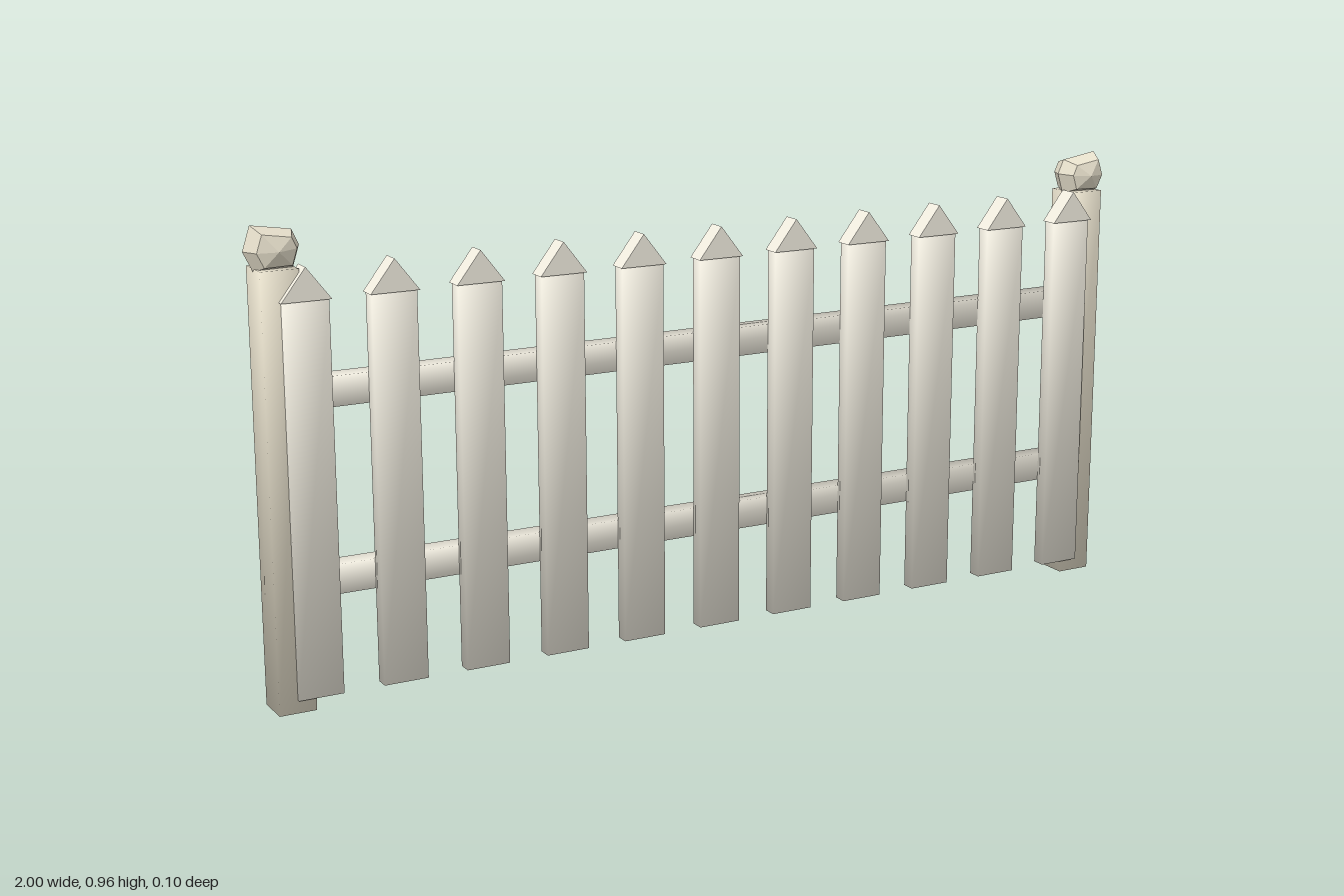
import * as THREE from 'three';
import { ConvexGeometry } from 'three/addons/geometries/ConvexGeometry.js';

const cream = new THREE.MeshStandardMaterial({ color: 0xf1ede0 });
const tan = new THREE.MeshStandardMaterial({ color: 0xe6dfcb });

function add(parent, name, geometry, material, x, y, z) {
  const mesh = new THREE.Mesh(geometry, material);
  mesh.name = name;
  mesh.position.set(x, y, z);
  parent.add(mesh);
}

// Box shaded smoothly across all its edges: every corner normal is diagonal
function softBox(w, h, d) {
  const geo = new THREE.BoxGeometry(w, h, d);
  const { position, normal } = geo.attributes;
  const n = new THREE.Vector3();
  for (let i = 0; i < position.count; i++) {
    n.fromBufferAttribute(position, i);
    n.set(Math.sign(n.x), Math.sign(n.y), Math.sign(n.z)).normalize();
    normal.setXYZ(i, n.x, n.y, n.z);
  }
  return geo;
}

// Faceted knob: a lopsided hexagon shrinking towards a front and a back tip
function knobGeometry(side) {
  const outline = [[0.04, 0.047], [-0.042, 0.034], [-0.056, 0.003],
    [-0.042, -0.041], [0.036, -0.043], [0.056, -0.002]];
  const points = [new THREE.Vector3(0, 0, 0.048), new THREE.Vector3(0, 0, -0.048)];
  for (const [z, scale] of [[-0.035, 0.71], [0, 1], [0.035, 0.71]]) {
    for (const [x, y] of outline) points.push(new THREE.Vector3(side * x * scale, y * scale, z));
  }
  return new ConvexGeometry(points);
}

export function createModel() {
  const fence = new THREE.Group();
  fence.name = 'picketFence';

  // End posts with knobs
  const postGeo = softBox(0.077, 0.882, 0.077);
  for (const side of [-1, 1]) {
    const label = side > 0 ? 'left' : 'right';
    add(fence, label + 'Post', postGeo, tan, side * 0.942, 0.441, -0.001);
    add(fence, label + 'PostKnob', knobGeometry(side), tan, side * 0.944, 0.918, 0);
  }

  // Horizontal rails set into the posts
  const railGeo = softBox(1.84, 0.061, 0.043);
  add(fence, 'lowerRail', railGeo, cream, 0, 0.253, -0.007);
  add(fence, 'upperRail', railGeo, cream, 0, 0.631, -0.007);

  // Pickets with overhanging triangular caps
  const picketGeo = softBox(0.094, 0.795, 0.03);
  const triangle = new THREE.Shape([
    new THREE.Vector2(-0.051, 0),
    new THREE.Vector2(0.051, 0),
    new THREE.Vector2(0, 0.066),
  ]);
  const capGeo = new THREE.ExtrudeGeometry(triangle, { depth: 0.04, bevelEnabled: false });
  for (let i = 0; i < 11; i++) {
    const picket = new THREE.Group();
    picket.name = 'picket' + (i + 1);
    picket.position.x = (i - 5) * 0.179;
    add(picket, 'picketBoard', picketGeo, cream, 0, 0.4245, 0.029);
    add(picket, 'picketCap', capGeo, cream, 0, 0.82, 0.01);
    fence.add(picket);
  }

  return fence;
}
